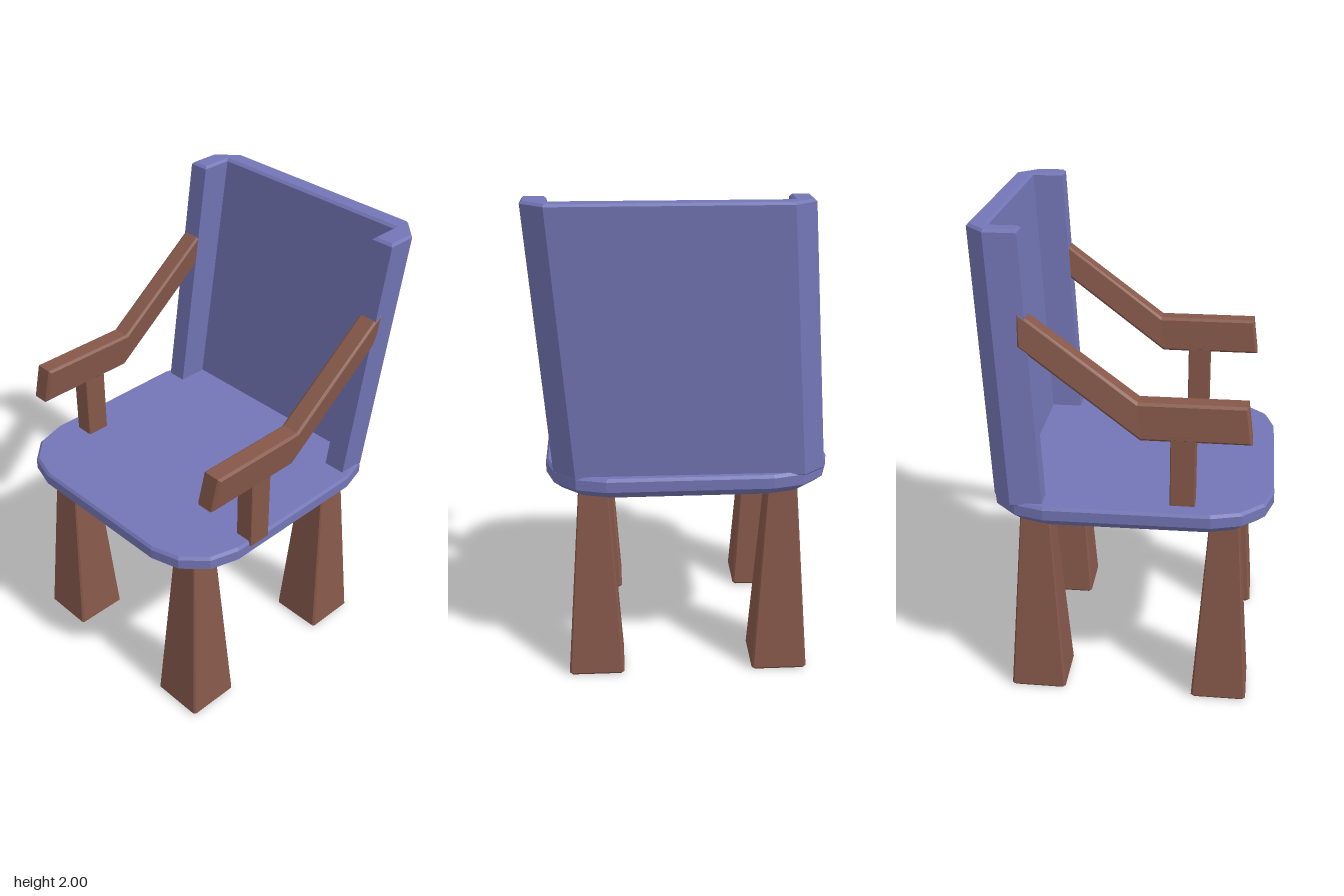
import * as THREE from 'three';

const fabric = new THREE.MeshStandardMaterial({ color: 0x7376b6 });
fabric.name = 'blue fabric';
const wood = new THREE.MeshStandardMaterial({ color: 0x86584a });
wood.name = 'brown wood';

// Skins a closed outline of [x, z] points, scaled to each [scale, y] level in turn.
// Levels run from the underside centre outwards, up, and back to the top centre.
function loft(outline, levels) {
  const n = outline.length, positions = [], index = [];
  for (const [s, y] of levels) for (const [x, z] of outline) positions.push(x * s, y, z * s);
  for (let l = 0; l < levels.length - 1; l++) {
    for (let i = 0; i < n; i++) {
      const j = (i + 1) % n;
      const a = l * n + i, b = l * n + j, c = b + n, d = a + n;
      if (levels[l + 1][0] > 0) index.push(a, d, c);
      if (levels[l][0] > 0) index.push(a, c, b);
      if (levels[l + 1][0] === 0) index.push(a, d, b);
    }
  }
  const indexed = new THREE.BufferGeometry();
  indexed.setAttribute('position', new THREE.Float32BufferAttribute(positions, 3));
  indexed.setIndex(index);
  const geometry = indexed.toNonIndexed();
  geometry.computeVertexNormals();
  return geometry;
}

// Bevelled extrusion, depth measured over the bevels.
function slab(points, depth, bevel) {
  const shape = new THREE.Shape(points.map(([x, y]) => new THREE.Vector2(x, y)));
  const geometry = new THREE.ExtrudeGeometry(shape, {
    depth: depth - 2 * bevel, bevelEnabled: true, bevelSegments: 1,
    bevelSize: bevel, bevelThickness: bevel, bevelOffset: -bevel,
  });
  return geometry.translate(0, 0, bevel);
}

// Moves every vertex by rule(v), then makes the faces flat again.
function deform(geometry, rule) {
  const p = geometry.attributes.position, v = new THREE.Vector3();
  for (let i = 0; i < p.count; i++) {
    rule(v.fromBufferAttribute(p, i));
    p.setXYZ(i, v.x, v.y, v.z);
  }
  geometry.computeVertexNormals();
  return geometry;
}

export function createModel() {
  const group = new THREE.Group();
  group.name = 'armchair';
  const add = (name, geometry, material, x = 0, y = 0, z = 0) => {
    const mesh = new THREE.Mesh(geometry, material);
    mesh.name = name;
    mesh.position.set(x, y, z);
    group.add(mesh);
  };

  // Seat: rounded square with a chamfered lower edge and shallow recess beneath
  const corner = [[0.58, 0.33], [0.545, 0.45], [0.455, 0.54], [0.335, 0.575]];
  const seatOutline = [];
  for (let q = 0; q < 4; q++) {
    for (const [x, z] of corner) {
      seatOutline.push([[x, z], [-z, x], [-x, -z], [z, -x]][q]);
    }
  }
  add('seat', loft(seatOutline, [
    [0, 0.85], [0.8, 0.85], [0.85, 0.83], [0.94, 0.83],
    [1, 0.865], [1, 0.908], [0.985, 0.92], [0, 0.92],
  ]), fabric, -0.025, 0, 0.02);

  // Legs: square, chamfered, flaring towards the floor
  const k = 0.93;
  const square = [[1, -k], [1, k], [k, 1], [-k, 1], [-1, k], [-1, -k], [-k, -1], [k, -1]];
  const legGeometry = loft(square, [
    [0, 0], [0.108, 0], [0.116, 0.01], [0.06, 0.82], [0.06, 0.86], [0, 0.86],
  ]);
  for (const [side, x] of [['right', -0.412], ['left', 0.36]]) {
    add(side + 'FrontLeg', legGeometry, wood, x, 0, 0.405);
    add(side + 'BackLeg', legGeometry, wood, x, 0, -0.368);
  }

  // Backrest: panel with side wings, leaning back and sideways
  const back = slab([
    [-0.49, 0.39], [-0.405, 0.39], [-0.405, 0.52], [0.505, 0.52], [0.505, 0.39],
    [0.6, 0.39], [0.6, 0.51], [0.51, 0.6], [-0.4, 0.6], [-0.49, 0.52],
  ], 1.1, 0.01).rotateX(-Math.PI / 2).translate(0, 0.9, 0);
  deform(back, (v) => {
    const t = (2 - v.y) / 1.1;
    v.x -= 0.085 * t;
    v.z += 0.075 * t;
  });
  add('backrest', back, fabric);

  // Armrests: bent rail, its top edge leaning towards the model's left, on a short post
  const rail = slab([
    [0.505, 1.195], [0.485, 1.347], [0.06, 1.347], [-0.4, 1.695],
    [-0.4, 1.56], [0.07, 1.195],
  ], 0.086, 0.01).rotateY(-Math.PI / 2).translate(0.043, 0, 0);
  deform(rail, (v) => {
    const underside = 1.195 + 0.777 * Math.max(0, 0.07 - v.z);
    v.x += 0.016 * Math.min(1, (v.y - underside) / 0.15);
  });
  const post = loft(square.map(([x, z]) => [x * 0.041, z * 0.05]), [
    [0, 0.9], [1, 0.9], [1, 1.22], [0, 1.22],
  ]);
  for (const [side, x] of [['right', -0.488], ['left', 0.521]]) {
    add(side + 'ArmRail', rail, wood, x);
    add(side + 'ArmPost', post, wood, x, 0, 0.238);
  }

  return group;
}
